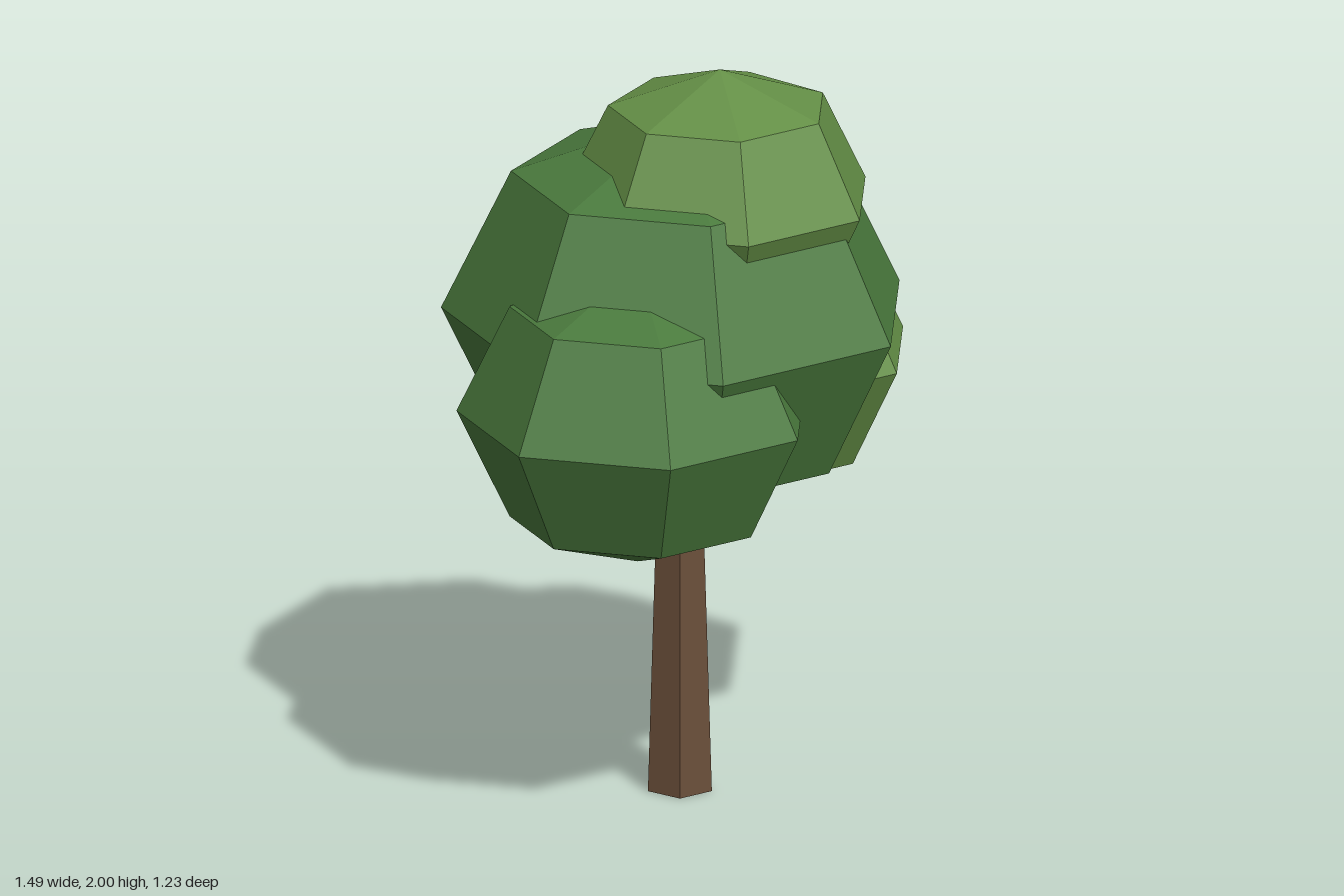
import * as THREE from 'three';

const flat = (color) => new THREE.MeshStandardMaterial({ color, flatShading: true });

export function createModel() {
  const tree = new THREE.Group();
  tree.name = 'tree';

  const bark = flat(0x6b4f3a);
  const darkLeaf = flat(0x4a7a3d);
  const lightLeaf = flat(0x648f46);

  // Five-sided tapering trunk, a corner facing the back, its top hidden in the crown
  const height = 0.95;
  const trunk = new THREE.Mesh(
    new THREE.CylinderGeometry(0.059, 0.088, height, 5, 1, false, Math.PI), bark);
  trunk.name = 'trunk';
  trunk.position.set(-0.016, height / 2, 0.006);
  tree.add(trunk);

  // Seven-sided foliage clumps: name, radius, half height, centre, material
  const clumps = [
    ['mainCrown', 0.626, 0.537, [-0.016, 1.32, 0.006], darkLeaf],
    ['rightClump', 0.475, 0.41, [-0.285, 1.14, 0.187], darkLeaf],
    ['leftClump', 0.446, 0.382, [0.31, 1.11, -0.144], lightLeaf],
    ['topClump', 0.415, 0.352, [0.045, 1.648, 0.1], lightLeaf],
  ];
  for (const [name, radius, halfHeight, centre, material] of clumps) {
    const geometry = new THREE.SphereGeometry(1, 7, 4, -Math.PI / 2);
    geometry.scale(radius, halfHeight, radius);
    const clump = new THREE.Mesh(geometry, material);
    clump.name = name;
    clump.position.set(...centre);
    tree.add(clump);
  }
  return tree;
}
